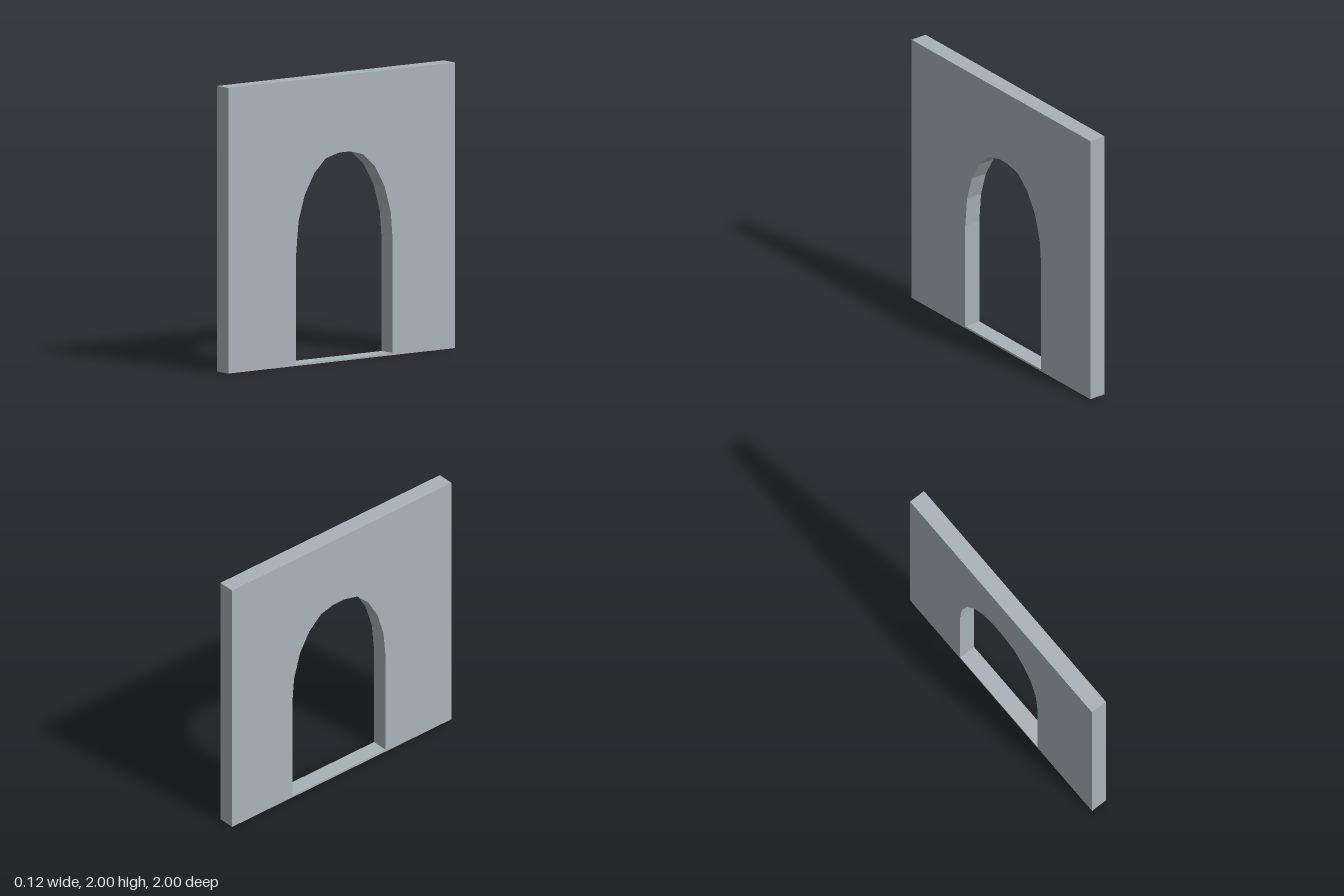
import * as THREE from 'three';

export function createModel() {
  const group = new THREE.Group();
  const wallGrey = new THREE.MeshStandardMaterial({ color: 0xaab3ba });
  wallGrey.name = 'wallGrey';
  const edgeGrey = new THREE.MeshStandardMaterial({ color: 0xa8b3b7 });
  edgeGrey.name = 'edgeGrey';

  const thickness = 0.124;

  // Square wall outline, drawn with shape x as the model's z
  const outline = new THREE.Shape();
  outline.moveTo(-1, 0).lineTo(1, 0).lineTo(1, 2).lineTo(-1, 2).closePath();

  // Arched doorway standing on a thin sill, slightly off centre
  const doorway = [
    [0.4, 0.015], [0.4, 0.79], [0.38, 1.01], [0.325, 1.19], [0.24, 1.335], [0.14, 1.43], [0.02, 1.46],
    [-0.075, 1.46], [-0.19, 1.43], [-0.295, 1.335], [-0.38, 1.19], [-0.435, 1.0], [-0.45, 0.82], [-0.45, 0.015],
  ].map(([z, y]) => new THREE.Vector2(z, y));
  outline.holes.push(new THREE.Path(doorway));

  // Extrude through the thickness and turn the wall to face sideways
  const geometry = new THREE.ExtrudeGeometry(outline, { depth: thickness, bevelEnabled: false });
  geometry.translate(0, 0, -thickness / 2);
  geometry.rotateY(-Math.PI / 2);

  const wall = new THREE.Mesh(geometry, [wallGrey, edgeGrey]);
  wall.name = 'archedWall';
  group.add(wall);
  return group;
}
